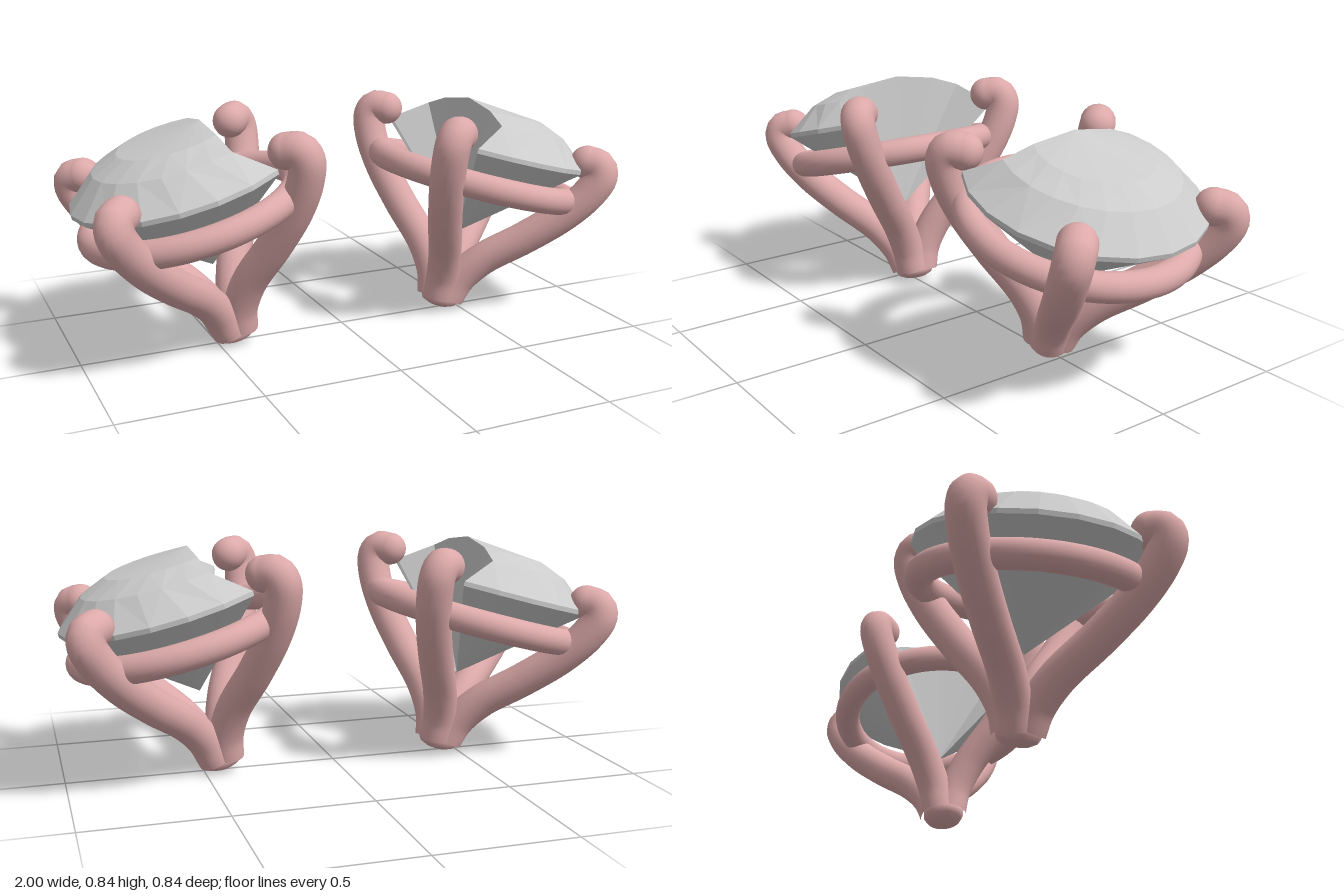
import * as THREE from 'three';

const TILT = 0.27;
const metal = new THREE.MeshStandardMaterial({ color: 0xdca9a9 });
const gem = new THREE.MeshStandardMaterial({ color: 0xcccccc, flatShading: true, side: THREE.DoubleSide });

function add(parent, name, geometry, material) {
  const mesh = new THREE.Mesh(geometry, material);
  mesh.name = name;
  parent.add(mesh);
  return mesh;
}

// Claw: rises along a diagonal, bulges outward and hooks over the stone
function makeProng(sx, sz) {
  const prong = new THREE.Group();
  prong.name = 'prong';
  // [diagonal offset, height]
  const path = [[0.022, 0.03], [0.04, 0.11], [0.088, 0.21], [0.185, 0.34], [0.268, 0.465],
    [0.318, 0.57], [0.336, 0.645], [0.325, 0.68], [0.292, 0.685]]
    .map(([s, t]) => new THREE.Vector3(sx * s, t, sz * s));
  const curve = new THREE.CatmullRomCurve3(path);
  add(prong, 'prongShaft', new THREE.TubeGeometry(curve, 60, 0.064, 20), metal);
  add(prong, 'prongTip', new THREE.SphereGeometry(0.064, 20, 14), metal).position.copy(path[path.length - 1]);
  return prong;
}

// Faceted stone with a wedge missing on its -x side
function makeStone() {
  const n = 14;
  // [radius, height, half angle of the sector that remains, x offset]
  const rows = [
    [0, 0.81, 2.17, -0.11],
    [0.2, 0.785, 2.16, 0],
    [0.3, 0.745, 1.97, 0],
    [0.41, 0.652, 2.17, 0],
    [0.41, 0.635, 2.17, 0],
    [0, 0.29, 2.17, 0],
  ].map(([r, y, limit, dx]) => Array.from({ length: n + 1 }, (_, i) => {
    const a = limit * (2 * i / n - 1);
    return new THREE.Vector3(dx + r * Math.cos(a), y, r * Math.sin(a));
  }));
  const positions = [];
  const tri = (a, b, c) => {
    if (a.equals(b) || b.equals(c) || c.equals(a)) return;
    for (const p of [a, b, c]) positions.push(p.x, p.y, p.z);
  };
  const tip = rows[rows.length - 1][0];
  for (let k = 0; k < rows.length - 1; k++) {
    const up = rows[k], low = rows[k + 1];
    // Alternating diagonals form the kite facets
    for (let i = 0; i < n; i++) {
      if ((i + k) % 2) {
        tri(low[i], up[i], up[i + 1]);
        tri(low[i], up[i + 1], low[i + 1]);
      } else {
        tri(low[i], up[i], low[i + 1]);
        tri(up[i], up[i + 1], low[i + 1]);
      }
    }
    // The two broken faces, meeting in a crease above the tip
    tri(tip, low[n], up[n]);
    tri(tip, up[0], low[0]);
  }
  const geometry = new THREE.BufferGeometry();
  geometry.setAttribute('position', new THREE.Float32BufferAttribute(positions, 3));
  geometry.computeVertexNormals();
  return geometry;
}

// One setting, leaning toward +x
function makeSetting() {
  const setting = new THREE.Group();
  for (const sx of [-1, 1]) for (const sz of [-1, 1]) setting.add(makeProng(sx, sz));

  const ring = add(setting, 'supportRing', new THREE.TorusGeometry(0.372, 0.05, 20, 72), metal);
  ring.rotation.x = Math.PI / 2;
  ring.position.y = 0.52;

  // Rounded foot under the prongs
  const foot = [[0, -0.018], [0.04, -0.016], [0.066, -0.004], [0.077, 0.014], [0.076, 0.032], [0.062, 0.05], [0, 0.055]]
    .map(([x, y]) => new THREE.Vector2(x, y));
  add(setting, 'foot', new THREE.LatheGeometry(foot, 32), metal);

  add(setting, 'stone', makeStone(), gem);
  setting.position.set(0.43, 0.022, 0);
  setting.rotation.z = -TILT;
  return setting;
}

export function createModel() {
  const model = new THREE.Group();
  model.name = 'studPair';
  // The second setting is the first turned half way round
  ['leftStud', 'rightStud'].forEach((name, i) => {
    const stud = new THREE.Group();
    stud.name = name;
    stud.add(makeSetting());
    stud.rotation.y = i * Math.PI;
    model.add(stud);
  });
  return model;
}
